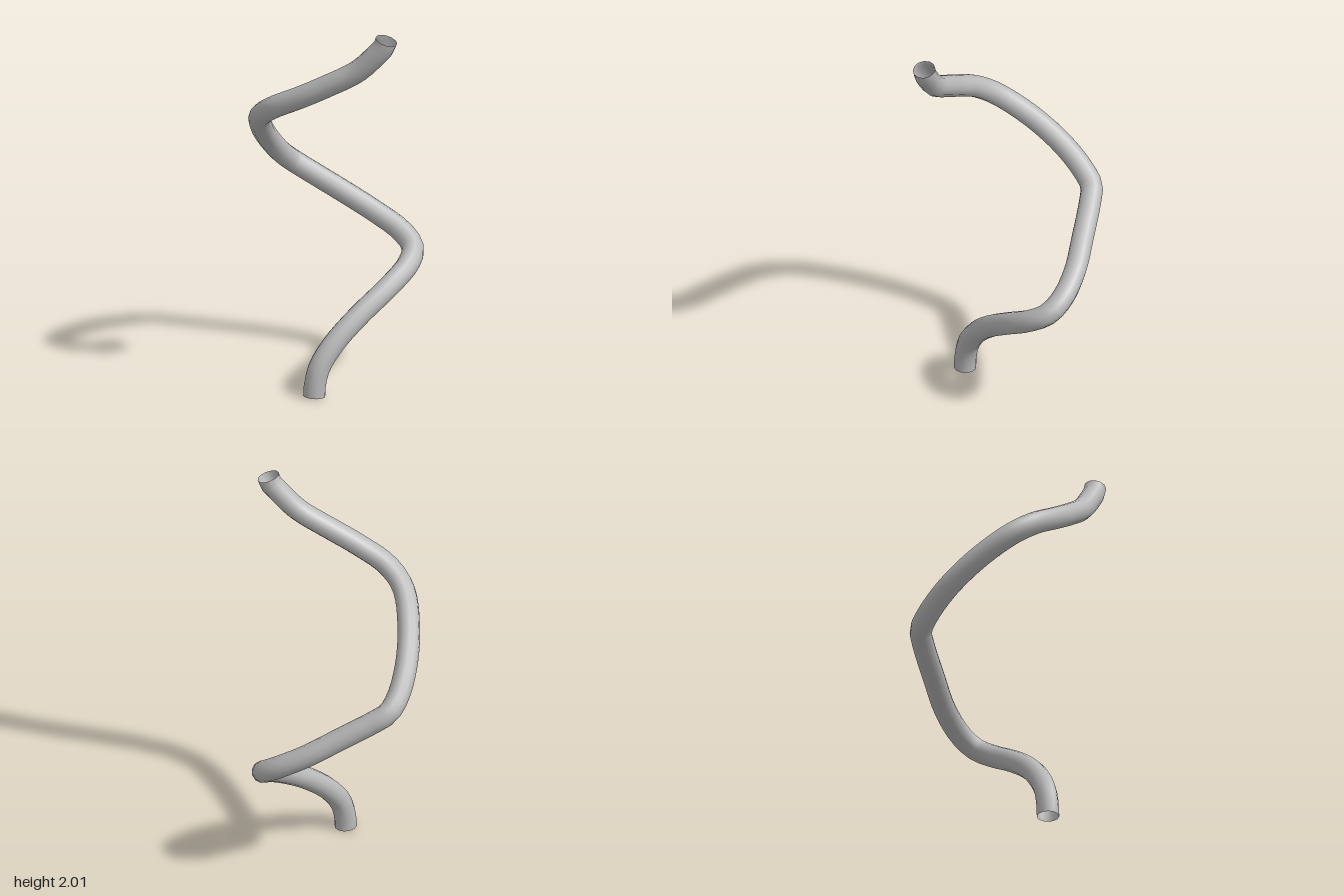
import * as THREE from 'three';

export function createModel() {
  const group = new THREE.Group();
  group.name = 'twistedTube';

  const grey = new THREE.MeshStandardMaterial({ color: 0xbababa, side: THREE.DoubleSide });
  grey.name = 'grey';

  // Centre line: rises straight, then winds once around the vertical axis
  const path = [
    [-0.175, 0, 0.19], [-0.172, 0.05, 0.189], [-0.145, 0.15, 0.18],
    [-0.065, 0.26, 0.155], [0.07, 0.38, 0.11], [0.245, 0.5, 0.035],
    [0.365, 0.58, -0.055], [0.405, 0.635, -0.14], [0.365, 0.695, -0.22],
    [0.245, 0.78, -0.305], [0.09, 0.88, -0.37], [-0.07, 0.98, -0.432],
    [-0.145, 1.03, -0.452], [-0.21, 1.09, -0.42], [-0.295, 1.205, -0.325],
    [-0.37, 1.34, -0.175], [-0.408, 1.46, -0.01], [-0.37, 1.54, 0.105],
    [-0.255, 1.625, 0.215], [-0.125, 1.71, 0.298], [0.01, 1.805, 0.375],
    [0.1, 1.91, 0.427], [0.133, 1.955, 0.444], [0.142, 1.987, 0.45],
  ].map((p) => new THREE.Vector3(...p));
  const curve = new THREE.CatmullRomCurve3(path, false, 'centripetal');

  // Open-ended pipe of constant thickness
  const tube = new THREE.Mesh(new THREE.TubeGeometry(curve, 72, 0.057, 12, false), grey);
  tube.name = 'tube';
  group.add(tube);

  return group;
}
